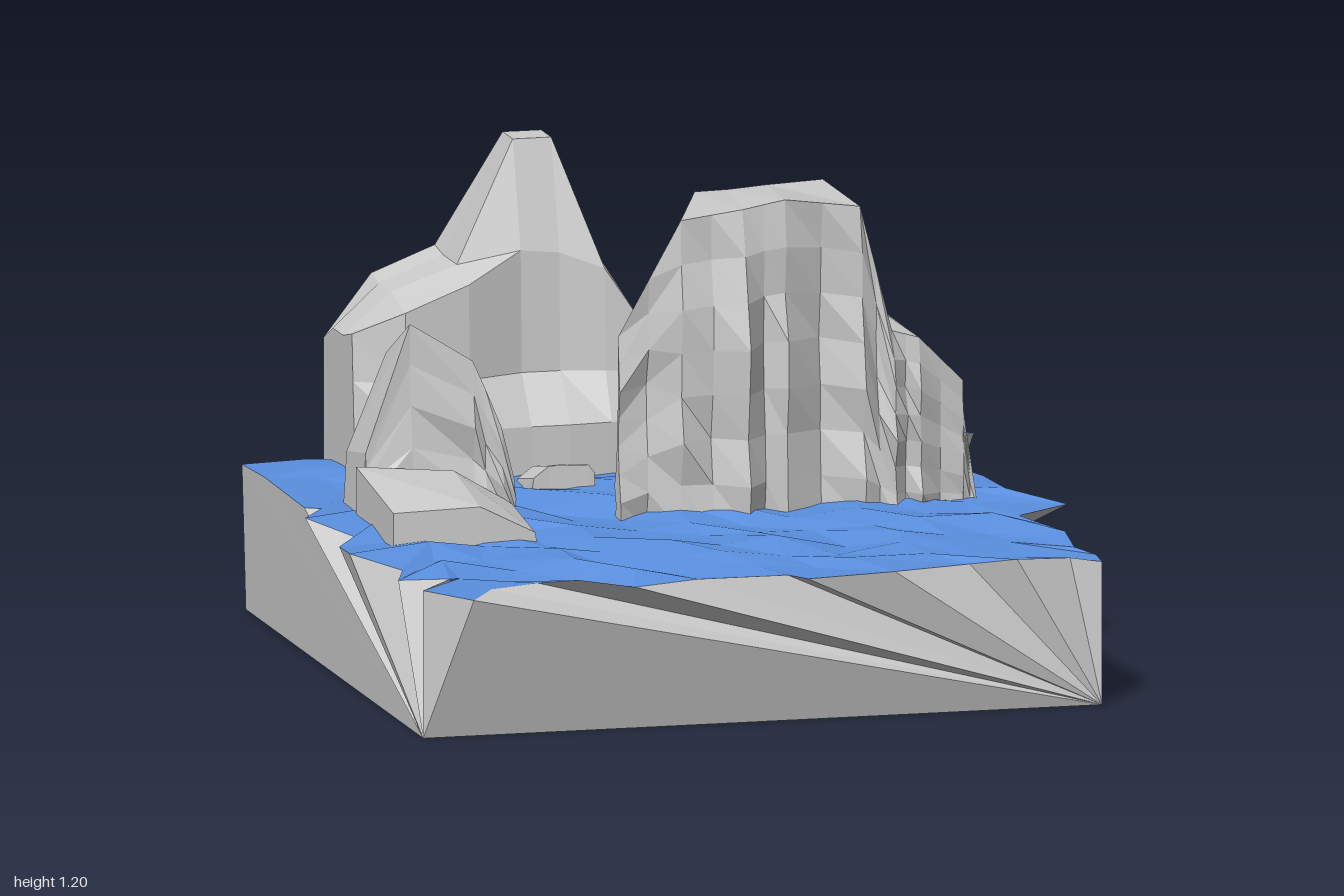
import * as THREE from 'three';

const stone = new THREE.MeshStandardMaterial({ color: 0xcccccc, flatShading: true, side: THREE.DoubleSide });
const blue = new THREE.MeshStandardMaterial({ color: 0x5a90e0, flatShading: true, side: THREE.DoubleSide });

// Small seeded generator giving values in -1..1
function seeded(seed) {
  let s = seed;
  return () => {
    s = (s * 16807) % 2147483647;
    return (s / 2147483647) * 2 - 1;
  };
}

const lerp = THREE.MathUtils.lerp;

function facets(corners) {
  const g = new THREE.BufferGeometry();
  g.setAttribute('position', new THREE.Float32BufferAttribute(corners.flat(), 3));
  g.computeVertexNormals();
  return g;
}

// Triangles between successive rows of points
function skin(rows) {
  const out = [];
  for (let j = 0; j < rows.length - 1; j++) {
    for (let i = 0; i < rows[j].length - 1; i++) {
      const a = rows[j][i], b = rows[j][i + 1], c = rows[j + 1][i + 1], d = rows[j + 1][i];
      out.push(a, d, c, a, c, b);
    }
  }
  return out;
}

function part(name, corners, material = stone) {
  const mesh = new THREE.Mesh(facets(corners), material);
  mesh.name = name;
  return mesh;
}

// Rock with matching front and back profiles [x, y, z] and a craggy front face
const FOOT = 0.33;
function crag(name, front, back, bulge = () => 0, rowsN = 6, split = 2) {
  const dense = (p) => {
    const out = [p[0]];
    for (let i = 1; i < p.length; i++) {
      for (let k = 1; k <= split; k++) out.push(p[i].map((v, c) => lerp(p[i - 1][c], v, k / split)));
    }
    return out;
  };
  const f = dense(front);
  const face = [];
  for (let r = 0; r <= rowsN; r++) {
    const t = r / rowsN;
    face.push(f.map((p, i) => {
      const edge = i === 0 || i === f.length - 1 || r === rowsN;
      const y = lerp(p[1], FOOT, 1 - t);
      return [p[0], y, p[2] + (edge ? 0 : bulge(p[0], y, t, i))];
    }));
  }
  const rear = [back, back.map((p) => [p[0], FOOT, p[2]])];
  return part(name, [...skin([...face].reverse()), ...skin([back, front]), ...skin(rear.reverse()).reverse()]);
}

// Shoreline of each side, running counter-clockwise as [x, z]
const shore = {
  front: [[-.81, 1], [-.73, .87], [-.59, .79], [-.5, .86], [-.37, .92], [-.2, .89], [.04, .86], [.08, .91], [.3, .93], [.52, .83], [.63, .88], [.78, .83], [.85, .88]],
  right: [[.85, .88], [.86, .78], [.82, .72], [.84, .55], [.83, .4], [.8, .25], [.96, .12], [.84, -.04], [.85, -.3], [.75, -.55], [.84, -.68], [.95, -.77], [.86, -.88]],
  back: [[.86, -.88], [.73, -.83], [.66, -.86], [.52, -1], [.41, -.88], [.22, -.88], [.08, -.88], [-.1, -.88], [-.3, -.88], [-.45, -.88], [-.6, -.88], [-.75, -.88], [-.92, -.88]],
  left: [[-.92, -.88], [-.92, -.66], [-.92, -.26], [-.89, -.21], [-.96, -.1], [-.88, .08], [-.95, .2], [-.96, .34], [-.88, .56], [-.92, .67], [-.81, .76], [-.91, .88], [-.81, 1]],
};

const shoreY = (x, z) => 0.373 + 0.009 * Math.sin(x * 17 + z * 11);

function waterSurface() {
  const n = 12, rnd = seeded(41), rows = [];
  for (let j = 0; j <= n; j++) {
    const row = [];
    for (let i = 0; i <= n; i++) {
      const edge = j === 0 ? shore.back[n - i] : j === n ? shore.front[i]
        : i === 0 ? shore.left[j] : i === n ? shore.right[n - j] : null;
      const dx = rnd(), dy = rnd(), dz = rnd();
      if (edge) row.push([edge[0], shoreY(...edge), edge[1]]);
      else row.push([-.91 + i * 1.76 / n + dx * .035, .372 + dy * .02, -.88 + j * 1.76 / n + dz * .035]);
    }
    rows.push(row);
  }
  return part('water', skin(rows), blue);
}

// Walls fan out from the bottom corners up to the shoreline
function baseBlock() {
  const foot = [[-.91, 0, .88], [.85, 0, .88], [.85, 0, -.88], [-.91, 0, -.88]];
  const out = [foot[0], foot[2], foot[1], foot[0], foot[3], foot[2]];
  ['front', 'right', 'back', 'left'].forEach((side, k) => {
    const start = foot[k], pivot = foot[(k + 1) % 4];
    const top = shore[side].map(([x, z]) => [x, shoreY(x, z), Math.max(z, -.88)]);
    out.push(start, pivot, top[0]);
    for (let i = 0; i < top.length - 1; i++) out.push(top[i], pivot, top[i + 1]);
  });
  return part('base', out);
}

// Tall peak, lofted along x; its underside drops over the back edge
function peakRock() {
  // x, back y, back z, crest y, crest z range, front y, front z, foot z, underside y
  const sections = [
    [-.70, .68, -.91, .72, -.82, -.72, .74, -.63, -.61, .11],
    [-.58, .84, -.90, .83, -.82, -.70, .80, -.56, -.50, .22],
    [-.41, .90, -.92, .89, -.84, -.70, .86, -.58, -.52, .28],
    [-.26, .91, -.92, 1.2, -.82, -.72, .93, -.64, -.53, .32],
    [-.16, .91, -.92, 1.2, -.82, -.72, .92, -.64, -.53, .34],
    [-.05, .92, -.92, .91, -.84, -.72, .88, -.61, -.54, .37],
    [.05, .73, -.88, .74, -.82, -.72, .73, -.60, -.55, .37],
  ];
  const rings = sections.map(([x, yb, zb, yt, z0, z1, yf, zf, foot, under]) => [
    [x, under, zb], [x, yb, zb], [x, yt, z0], [x, yt, z1], [x, yf, zf],
    [x, .62, zf + .01], [x, .5, foot], [x, FOOT, foot], [x, under, zb],
  ]);
  const out = skin(rings).reverse();
  for (const ring of [rings[0], rings[rings.length - 1]]) {
    for (let i = 1; i < ring.length - 2; i++) out.push(ring[0], ring[i], ring[i + 1]);
  }
  return part('peakRock', out);
}

function mainRock() {
  const rnd = seeded(7);
  const front = [[-.17, FOOT, -.02], [-.17, .82, -.02], [-.02, 1.12, .03], [.14, 1.14, .03], [.25, 1.16, .03], [.45, 1.13, .01],
    [.53, .81, .02], [.6, .79, .02], [.72, .67, 0], [.72, .6, 0], [.76, FOOT, 0]];
  const back = [[-.03, FOOT, -.38], [-.04, .8, -.37], [.11, 1.12, -.33], [.2, 1.12, -.34], [.3, 1.125, -.35], [.45, 1.13, -.36],
    [.54, .83, -.38], [.6, .79, -.38], [.72, .67, -.38], [.72, .6, -.37], [.73, FOOT, -.37]];
  // Two buttresses with vertical folds, fading out to the top
  const bulge = (x, y, t, i) => {
    const swell = .06 * Math.exp(-(((x - .13) / .1) ** 2)) + .05 * Math.exp(-(((x - .5) / .1) ** 2));
    const fade = Math.min(1, (1 - t) * 2.5) * (x > .62 ? .3 : 1);
    return fade * (swell + (i % 2 ? -.025 : .01) + rnd() * .022);
  };
  const rock = crag('mainRock', front, denseMatch(front, back), bulge, 7);
  return rock;
}

// Both profiles keep the same number of points
function denseMatch(front, back) {
  return back.slice(0, front.length);
}

function leftRock() {
  const rnd = seeded(19);
  const front = [[-.8, FOOT, -.15], [-.79, .53, -.15], [-.67, .85, -.17], [-.51, .75, -.16], [-.48, .68, -.15], [-.44, .58, -.14], [-.41, .45, -.13], [-.41, FOOT, -.13]];
  const back = [[-.8, FOOT, -.34], [-.79, .5, -.34], [-.68, .74, -.37], [-.51, .70, -.37], [-.47, .62, -.37], [-.45, .54, -.34], [-.41, .45, -.33], [-.41, FOOT, -.33]];
  return crag('leftRock', front, back, (x, y, t) => Math.min(1, (1 - t) * 2) * (.02 + rnd() * .018), 5, 1);
}

function lowSlab() {
  const front = [[-.82, FOOT, .24], [-.82, .45, .24], [-.6, .46, .26], [-.46, .39, .27], [-.45, FOOT, .27]];
  const back = [[-.82, FOOT, -.13], [-.82, .5, -.13], [-.57, .48, -.12], [-.42, .39, -.12], [-.41, FOOT, -.12]];
  return crag('lowSlab', front, back, undefined, 1, 1);
}

function smallRock() {
  const front = [[-.32, FOOT, -.32], [-.31, .41, -.32], [-.27, .44, -.32], [-.17, .44, -.31], [-.155, .42, -.31], [-.15, FOOT, -.31]];
  const back = front.map(([x, y]) => [x, y > .4 ? y - .03 : y, -.48]);
  return crag('smallRock', front, back, undefined, 1, 1);
}

export function createModel() {
  const group = new THREE.Group();
  group.name = 'rocksInWater';
  group.add(baseBlock(), waterSurface(), peakRock(), mainRock(), leftRock(), lowSlab(), smallRock());
  return group;
}
